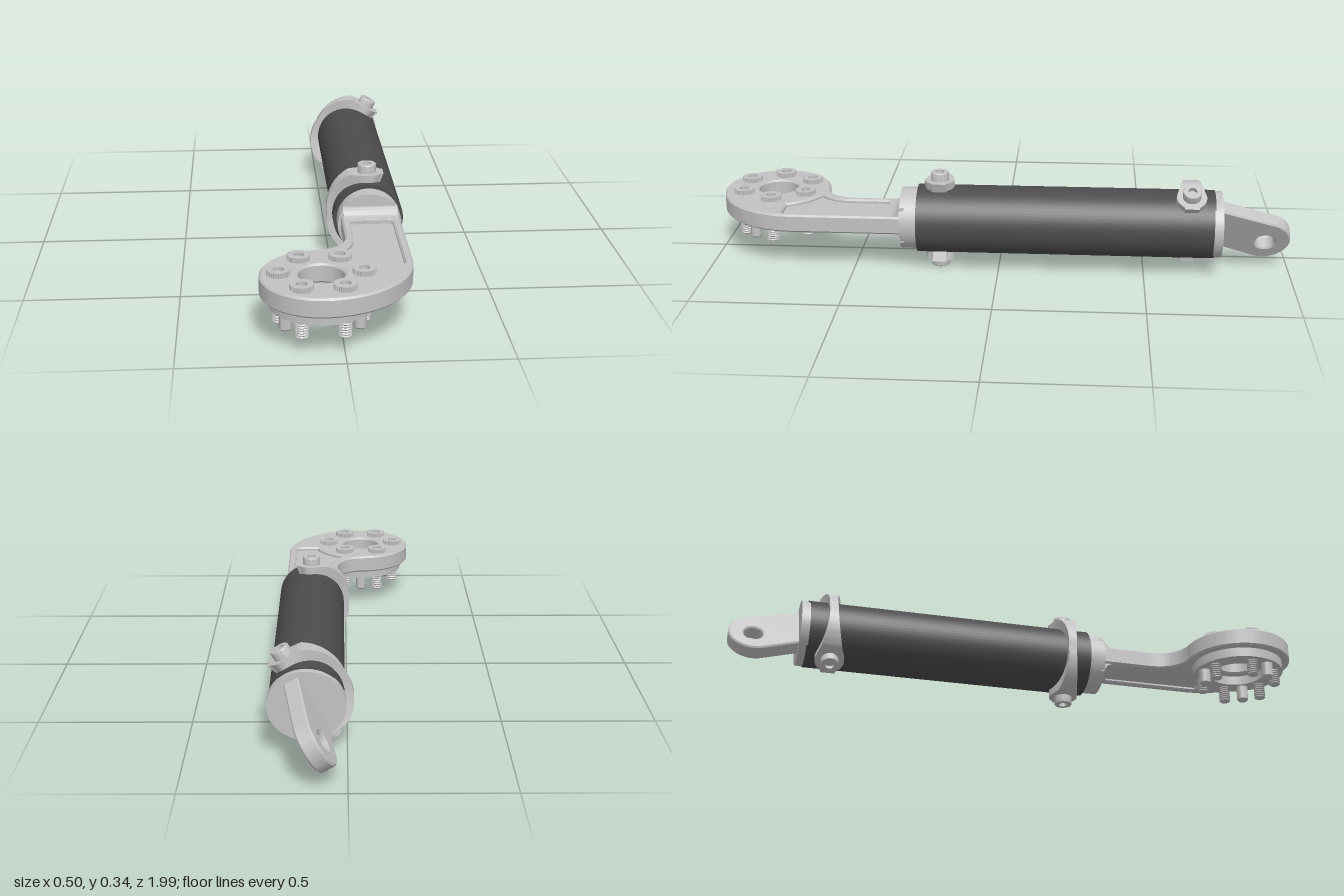
import * as THREE from 'three';
import { toCreasedNormals } from 'three/addons/utils/BufferGeometryUtils.js';

const AXIS_X = 0.125, AXIS_Y = 0.17;   // tube axis
const HEAD_X = -0.063, HEAD_Z = 0.808; // bolted head centre

export function createModel() {
  const root = new THREE.Group();
  const steel = new THREE.MeshStandardMaterial({ color: 0xc2c2c2 });
  steel.name = 'light grey metal';
  const black = new THREE.MeshStandardMaterial({ color: 0x4c4c4c });
  black.name = 'dark grey tube';

  const add = (parent, name, geo, mat = steel, x = 0, y = 0, z = 0) => {
    const m = new THREE.Mesh(geo, mat);
    m.name = name;
    m.position.set(x, y, z);
    parent.add(m);
    return m;
  };
  const lathe = (pts, segs = 32) =>
    toCreasedNormals(new THREE.LatheGeometry(pts.map(p => new THREE.Vector2(p[0], p[1])), segs), 0.6);

  // Horizontal slab from a shape drawn in x and z, between two heights
  const slab = (shape, y0, y1, bevel = 0) => {
    const g = new THREE.ExtrudeGeometry(shape, {
      depth: y1 - y0 - 2 * bevel, curveSegments: 32, bevelEnabled: bevel > 0,
      bevelSize: bevel, bevelThickness: bevel, bevelOffset: -bevel, bevelSegments: 1,
    });
    g.rotateX(Math.PI / 2);
    g.translate(0, y1 - bevel, 0);
    return toCreasedNormals(g, 0.5);
  };
  const circlePath = (x, y, r) => new THREE.Path().absarc(x, y, r, 0, Math.PI * 2, true);

  // Curved arm with round bolted head
  const armShape = withPocket => {
    const s = new THREE.Shape();
    s.moveTo(0.222, 0.32);
    s.lineTo(0.222, 0.71);
    s.absarc(HEAD_X, 0.71, 0.285, 0, Math.PI / 2, false);
    s.absarc(HEAD_X, HEAD_Z, 0.187, Math.PI / 2, Math.PI * 1.5, false);
    s.quadraticCurveTo(0.03, 0.605, 0.03, 0.5);
    s.lineTo(0.03, 0.32);
    s.closePath();
    s.holes.push(circlePath(HEAD_X, HEAD_Z, 0.07));
    if (withPocket) {
      const p = new THREE.Path();
      p.moveTo(0.065, 0.385);
      p.lineTo(0.185, 0.385);
      p.quadraticCurveTo(0.195, 0.385, 0.195, 0.395);
      p.lineTo(0.195, 0.735);
      p.quadraticCurveTo(0.195, 0.745, 0.185, 0.745);
      p.lineTo(0.11, 0.745);
      p.quadraticCurveTo(0.085, 0.68, 0.005, 0.635);
      p.quadraticCurveTo(0.055, 0.59, 0.055, 0.53);
      p.lineTo(0.055, 0.395);
      p.quadraticCurveTo(0.055, 0.385, 0.065, 0.385);
      s.holes.push(p);
    }
    return s;
  };
  const arm = new THREE.Group();
  arm.name = 'arm';
  root.add(arm);
  add(arm, 'armCore', slab(armShape(false), 0.153, 0.191));
  add(arm, 'armTopRim', slab(armShape(true), 0.178, 0.204, 0.006));
  add(arm, 'armBottomRim', slab(armShape(true), 0.141, 0.166, 0.006));

  // Stepped ring beneath the head
  const ring = new THREE.Shape().absarc(HEAD_X, HEAD_Z, 0.16, 0, Math.PI * 2, false);
  ring.holes.push(circlePath(HEAD_X, HEAD_Z, 0.097));
  add(arm, 'headRing', slab(ring, 0.108, 0.145));

  // Fillet blending the arm into the collar
  const fillet = new THREE.Shape();
  fillet.moveTo(0.32, 0.11);
  fillet.lineTo(0.335, 0.11);
  fillet.quadraticCurveTo(0.34, 0.142, 0.385, 0.142);
  fillet.lineTo(0.385, 0.203);
  fillet.quadraticCurveTo(0.34, 0.203, 0.335, 0.235);
  fillet.lineTo(0.32, 0.235);
  const filletGeo = new THREE.ExtrudeGeometry(fillet, { depth: 0.18, bevelEnabled: false, curveSegments: 10 });
  filletGeo.rotateY(-Math.PI / 2);
  add(arm, 'collarFillet', toCreasedNormals(filletGeo, 0.6), steel, 0.216);

  // Knurled socket screws with threaded shanks
  const headGeo = new THREE.LatheGeometry(
    [[0.036, 0], [0.036, 0.018], [0.03, 0.018], [0.017, 0.018], [0.017, 0.006], [0, 0.006]]
      .map(p => new THREE.Vector2(...p)), 64);
  const hp = headGeo.attributes.position;
  for (let i = 0; i < hp.count; i++) {
    const onRim = Math.hypot(hp.getX(i), hp.getZ(i)) > 0.033;
    const column = Math.floor(i / 6);
    if (onRim && column % 2) hp.setXYZ(i, hp.getX(i) * 0.94, hp.getY(i), hp.getZ(i) * 0.94);
  }
  const knurled = toCreasedNormals(headGeo, 0.3);
  const threadPts = [[0, 0.05], [0.015, 0.05]];
  for (let y = 0.054; y < 0.14; y += 0.008) threadPts.push([0.02, y], [0.016, y + 0.004]);
  const thread = lathe(threadPts, 20);
  const pin = lathe([[0, 0.055], [0.016, 0.055], [0.02, 0.06], [0.02, 0.14]], 24);
  for (let i = 0; i < 6; i++) {
    const a = i * Math.PI / 3;
    const x = HEAD_X + 0.128 * Math.cos(a), z = HEAD_Z + 0.128 * Math.sin(a);
    add(arm, 'boltHead', knurled, steel, x, 0.202, z);
    add(arm, 'boltThread', thread, steel, x, 0, z);
  }
  for (let i = 0; i < 3; i++) {
    const a = Math.PI / 6 + i * Math.PI * 2 / 3;
    add(arm, 'dowelPin', pin, steel, HEAD_X + 0.128 * Math.cos(a), 0, HEAD_Z + 0.128 * Math.sin(a));
  }

  // Tube and front collar
  const rod = (r, z0, z1) => {
    const g = new THREE.CylinderGeometry(r, r, z1 - z0, 64);
    g.rotateX(Math.PI / 2);
    g.translate(AXIS_X, AXIS_Y, (z0 + z1) / 2);
    return g;
  };
  add(root, 'tube', rod(0.117, -0.735, 0.278), black);
  const collar = rod(0.106, 0.27, 0.335);
  add(root, 'collar', collar);

  // Open clamp band: wide at both bosses, narrow in the middle
  const bandGeometry = () => {
    const N = 64, t0 = 1.2, t1 = Math.PI * 2 - 1.2, loops = [], v = [];
    for (let i = 0; i <= N; i++) {
      const t = t0 + (t1 - t0) * i / N, c = Math.cos(t), s = Math.abs(Math.sin(t));
      const ro = Math.min(0.141 / Math.max(s, 0.01), 0.135 + 0.02 * s);
      const x = ro * c;
      const w = x > 0 ? Math.max(0.024, 0.95 * Math.sqrt(Math.max(0, 0.0535 ** 2 - x * x)))
        : 0.051 + 0.036 * x / 0.135;
      loops.push([[0.11, -w], [ro, -w], [ro, w], [0.11, w]]
        .map(([r, z]) => [r * c, r * Math.sin(t), z]));
    }
    const quad = (a, b, c, d) => v.push(...a, ...b, ...c, ...a, ...c, ...d);
    for (let i = 0; i < N; i++)
      for (let k = 0; k < 4; k++) {
        const n = (k + 1) % 4;
        quad(loops[i][k], loops[i + 1][k], loops[i + 1][n], loops[i][n]);
      }
    quad(...loops[0]);
    quad(...[...loops[N]].reverse());
    const g = new THREE.BufferGeometry();
    g.setAttribute('position', new THREE.Float32BufferAttribute(v, 3));
    return toCreasedNormals(g, 0.5);
  };
  const band = bandGeometry();
  const screw = lathe([[0.031, 0.13], [0.031, 0.167], [0.029, 0.17], [0.015, 0.17], [0.015, 0.155], [0, 0.155]]);
  const addClamp = (name, z, turn) => {
    const g = new THREE.Group();
    g.name = name;
    g.position.set(AXIS_X, AXIS_Y, z);
    g.rotation.z = turn;
    add(g, 'clampBand', band);
    add(g, 'clampScrewUpper', screw);
    add(g, 'clampScrewLower', screw).rotation.x = Math.PI;
    root.add(g);
  };
  addClamp('frontClamp', 0.203, 0);
  addClamp('rearClamp', -0.652, -Math.PI / 6);

  // Rear flange
  const flange = new THREE.CylinderGeometry(0.122, 0.122, 0.03, 64);
  flange.rotateX(Math.PI / 2);
  flange.scale(1, 0.92, 1);
  add(root, 'rearFlange', flange, steel, AXIS_X, AXIS_Y, -0.745);

  // Tilted mounting lug with eye
  const lug = new THREE.Shape();
  lug.moveTo(-0.75, -0.085);
  lug.lineTo(-0.75, 0.098);
  lug.absarc(-0.91, -0.055, 0.09, 1.9, 4.95, false);
  lug.closePath();
  lug.holes.push(circlePath(-0.915, -0.062, 0.033));
  const lugGeo = new THREE.ExtrudeGeometry(lug, {
    depth: 0.042, curveSegments: 32, bevelEnabled: true,
    bevelSize: 0.005, bevelThickness: 0.005, bevelOffset: -0.005, bevelSegments: 1,
  });
  lugGeo.rotateY(-Math.PI / 2);
  lugGeo.translate(0.021, 0, 0);
  const lugMesh = add(root, 'mountingLug', toCreasedNormals(lugGeo, 0.5), steel, AXIS_X, AXIS_Y, 0);
  lugMesh.rotation.z = -Math.PI / 6;

  return root;
}
